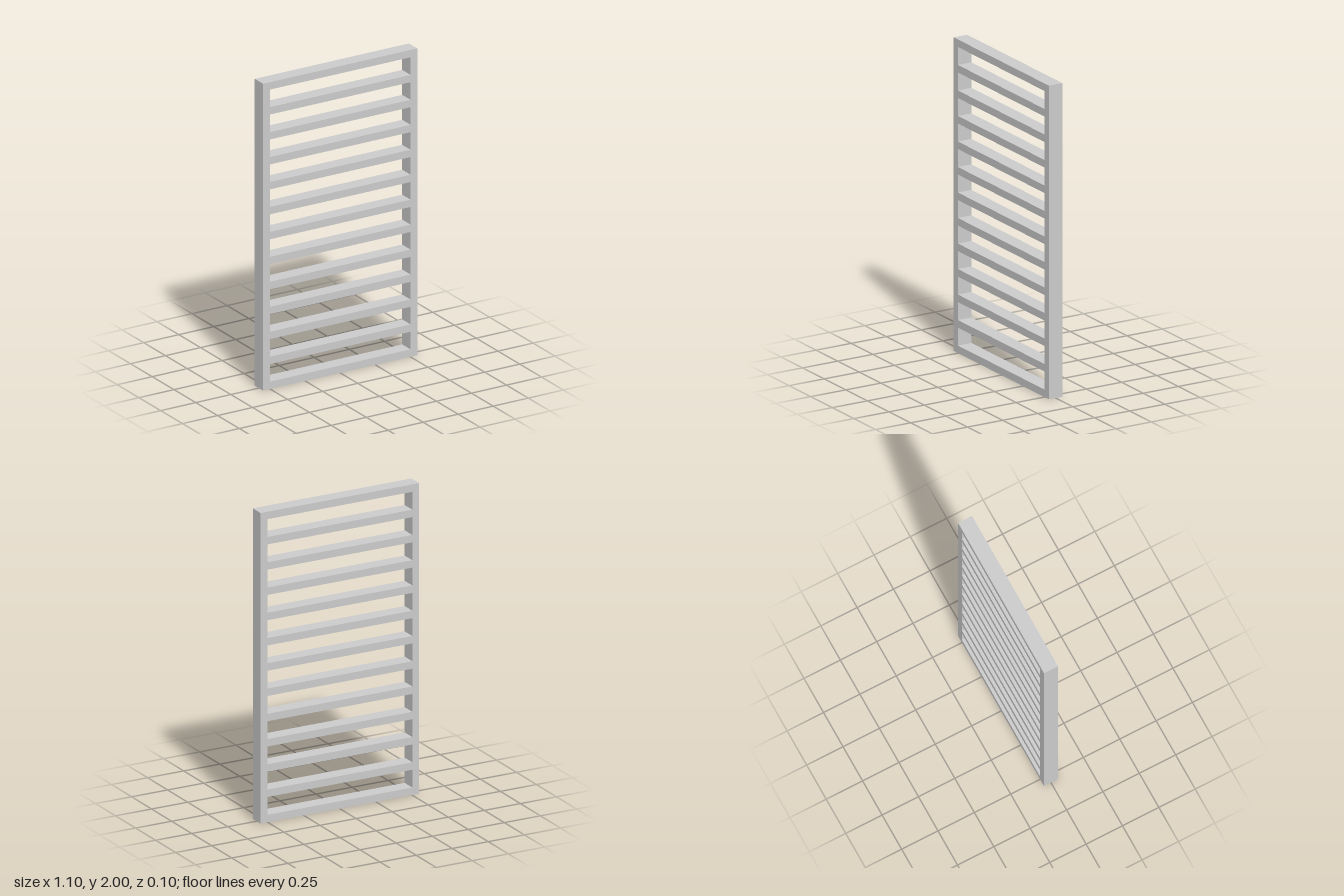
import * as THREE from 'three';

const WIDTH = 1.1, HEIGHT = 2, DEPTH = 0.096;
const BAR = 0.048;
const OPENINGS = 12;

// Adds a closed rectangle to a shape or path
function rectangle(path, x0, y0, x1, y1) {
  path.moveTo(x0, y0);
  path.lineTo(x1, y0);
  path.lineTo(x1, y1);
  path.lineTo(x0, y1);
  path.closePath();
  return path;
}

export function createModel() {
  const group = new THREE.Group();
  group.name = 'slattedPanel';

  // Outer outline of the frame
  const shape = rectangle(new THREE.Shape(), -WIDTH / 2, 0, WIDTH / 2, HEIGHT);

  // Evenly spaced openings, leaving the slats between them
  const pitch = (HEIGHT - BAR) / OPENINGS;
  const inner = WIDTH / 2 - BAR;
  for (let i = 0; i < OPENINGS; i++) {
    const y = i * pitch;
    shape.holes.push(rectangle(new THREE.Path(), -inner, y + BAR, inner, y + pitch));
  }

  // Frame and slats as one solid, centred in depth
  const geometry = new THREE.ExtrudeGeometry(shape, { depth: DEPTH, bevelEnabled: false });
  geometry.translate(0, 0, -DEPTH / 2);
  const panel = new THREE.Mesh(geometry, new THREE.MeshStandardMaterial({ color: 0xcccccc }));
  panel.name = 'frameWithSlats';
  group.add(panel);

  return group;
}
